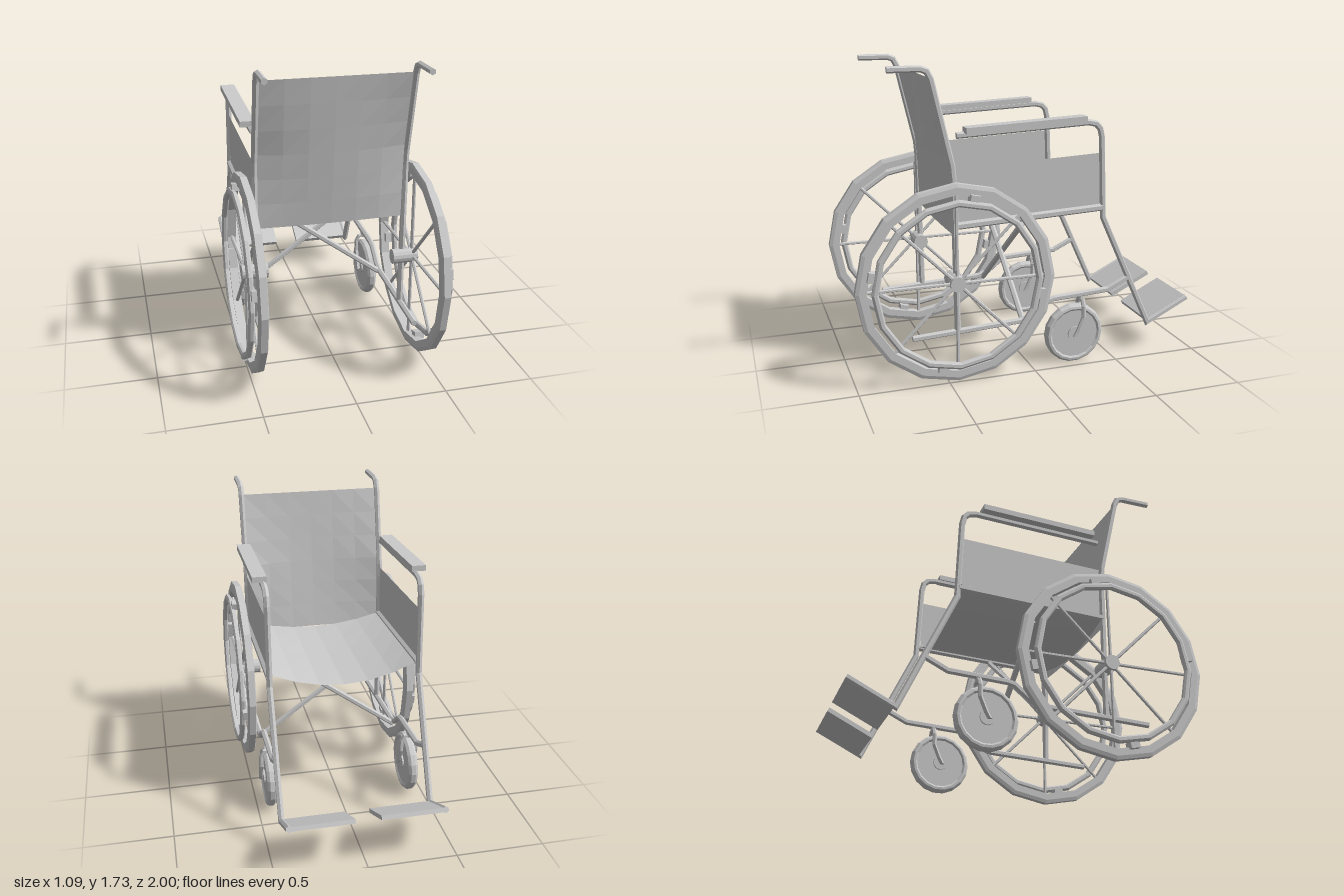
import * as THREE from 'three';

const grey = new THREE.MeshStandardMaterial({ color: 0xcccccc, flatShading: true });
const cloth = new THREE.MeshStandardMaterial({ color: 0xcccccc, flatShading: true, side: THREE.DoubleSide });

function add(parent, name, geometry, material = grey) {
  const mesh = new THREE.Mesh(geometry, material);
  mesh.name = name;
  parent.add(mesh);
  return mesh;
}

// Mitred pipe through points lying roughly in a plane with the given normal
function pipe(points, r, normal, sides = 6) {
  const p = points.map(a => new THREE.Vector3(...a));
  const B = new THREE.Vector3(...normal).normalize();
  const pos = [], idx = [], last = p.length - 1;
  const dir = i => p[i + 1].clone().sub(p[i]).normalize();
  for (let i = 0; i <= last; i++) {
    const before = dir(Math.max(i - 1, 0)), after = dir(Math.min(i, last - 1));
    const T = before.clone().add(after).normalize();
    const N = B.clone().cross(T).normalize().multiplyScalar(1 / Math.max(T.dot(after), 0.5));
    for (let k = 0; k < sides; k++) {
      const a = (k / sides) * Math.PI * 2;
      const v = p[i].clone().addScaledVector(N, r * Math.cos(a)).addScaledVector(B, r * Math.sin(a));
      pos.push(v.x, v.y, v.z);
      if (i < last) {
        const q = i * sides + k, w = i * sides + (k + 1) % sides;
        idx.push(q, w, q + sides, w, w + sides, q + sides);
      }
    }
  }
  const end = last * sides;
  for (let k = 1; k < sides - 1; k++) idx.push(0, k + 1, k, end, end + k, end + k + 1);
  const g = new THREE.BufferGeometry();
  g.setAttribute('position', new THREE.Float32BufferAttribute(pos, 3));
  g.setIndex(idx);
  g.computeVertexNormals();
  return g;
}

// Solid of revolution around the x axis, profile given as [radius, x]
function ring(profile, segments) {
  const g = new THREE.LatheGeometry(profile.map(a => new THREE.Vector2(...a)), segments);
  return g.rotateZ(-Math.PI / 2);
}

// Grid in (u across, v along), each point placed by a rule
function sheet(nu, nv, rule) {
  const g = new THREE.PlaneGeometry(1, 1, nu, nv), a = g.attributes.position;
  for (let i = 0; i < a.count; i++) a.setXYZ(i, ...rule(a.getX(i) * 2, a.getY(i) + 0.5));
  g.computeVertexNormals();
  return g;
}

function driveWheel(s) {
  const wheel = new THREE.Group();
  wheel.name = 'driveWheel';
  wheel.position.set(s * 0.481, 0.565, 0.445);
  add(wheel, 'tyre', ring([[0.495, -0.025], [0.535, -0.025], [0.555, -0.018], [0.555, 0.018],
    [0.535, 0.025], [0.495, 0.025], [0.495, -0.025]], 16));
  const rim = add(wheel, 'handRim', ring([[0.437, -0.008], [0.446, -0.016], [0.463, -0.016], [0.474, -0.008],
    [0.474, 0.008], [0.463, 0.016], [0.446, 0.016], [0.437, 0.008], [0.437, -0.008]], 16));
  rim.position.x = s * 0.049;
  const hub = add(wheel, 'hub', new THREE.CylinderGeometry(0.043, 0.043, 0.145, 14).rotateZ(Math.PI / 2));
  hub.position.x = -s * 0.047;
  for (let i = 0; i < 8; i++) {
    const a = (i * Math.PI) / 4;
    add(wheel, 'spoke', pipe([[0, 0, 0], [0, 0.5 * Math.sin(a), 0.5 * Math.cos(a)]], 0.01, [1, 0, 0]));
  }
  // Tabs joining hand rim and tyre
  for (let i = 0; i < 4; i++) {
    const tab = add(wheel, 'rimTab', new THREE.BoxGeometry(0.055, 0.04, 0.055).translate(s * 0.025, 0.478, 0));
    tab.rotation.x = (i * Math.PI) / 2 - Math.PI / 16;
  }
  return wheel;
}

function caster(s) {
  const group = new THREE.Group();
  group.name = 'caster';
  group.position.set(s * 0.422, 0.175, -0.26);
  add(group, 'casterWheel', ring([[0, -0.022], [0.14, -0.022], [0.15, -0.03], [0.163, -0.028], [0.175, -0.013],
    [0.175, 0.013], [0.163, 0.028], [0.15, 0.03], [0.14, 0.022], [0, 0.022]], 18));
  add(group, 'axle', new THREE.CylinderGeometry(0.042, 0.042, 0.064, 14).rotateZ(Math.PI / 2));
  const arm = [[0.045, -0.012, 0.006], [0.045, 0.02, -0.012], [0.045, 0.1, -0.045], [0.045, 0.165, -0.045], [0.028, 0.198, -0.045]];
  const path = [...arm, ...arm.map(([x, y, z]) => [-x, y, z]).reverse()];
  add(group, 'fork', pipe(path, 0.013, [0, 0, 1]));
  add(group, 'stem', pipe([[0, 0.19, -0.045], [0, 0.235, -0.045]], 0.016, [1, 0, 0]));
  return group;
}

function sideFrame(s) {
  const group = new THREE.Group();
  group.name = s > 0 ? 'leftFrame' : 'rightFrame';
  const x = s * 0.423;
  const tube = (name, zy, r = 0.018) => add(group, name, pipe(zy.map(([z, y]) => [x, y, z]), r, [1, 0, 0]));

  tube('backUpright', [[0.785, 1.712], [0.61, 1.712], [0.578, 1.7], [0.557, 1.66], [0.45, 1.2], [0.443, 1.12], [0.43, 0.265]]);
  tube('armAndLegTube', [[0.425, 1.36], [-0.33, 1.395], [-0.375, 1.385], [-0.4, 1.36], [-0.412, 1.31], [-0.43, 0.85],
    [-0.735, 0.18], [-0.99, 0.305]]);
  tube('lowerRail', [[0.685, 0.255], [0.06, 0.285], [0, 0.305], [-0.1, 0.385], [-0.14, 0.395], [-0.47, 0.413], [-0.6, 0.475]]);
  tube('seatRail', [[0.44, 0.868], [-0.425, 0.907]], 0.021);

  // Arm pad
  const pad = add(group, 'armPad', new THREE.BoxGeometry(0.08, 0.032, 0.685));
  pad.position.set(s * 0.442, 1.405, 0.042);
  pad.rotation.x = 0.046;

  // Skirt guard between arm, seat and uprights
  add(group, 'skirtGuard', sheet(1, 1, (u, v) => {
    const t = (u + 1) / 2;
    return [x, THREE.MathUtils.lerp(0.87 + 0.035 * t, 1.18 + 0.04 * t, v), 0.44 - (0.855 - 0.01 * (1 - v)) * t];
  }), cloth);

  // Footplate
  const plate = add(group, 'footplate', new THREE.BoxGeometry(0.36, 0.024, 0.28));
  plate.position.set(s * 0.25, 0.243, -0.865);
  plate.rotation.x = Math.atan2(0.125, 0.255);
  return group;
}

export function createModel() {
  const model = new THREE.Group();
  model.name = 'wheelchair';

  for (const s of [1, -1]) {
    model.add(sideFrame(s), driveWheel(s), caster(s));
    // Crossed brace under the seat
    const z = 0.035 + s * 0.012;
    add(model, 'crossBrace', pipe([[s * 0.42, 0.278, z], [-s * 0.33, 0.825, z]], 0.017, [0, 0, 1]));
  }

  // Sagging sling seat
  add(model, 'seat', sheet(6, 4, (u, v) => {
    const z = 0.44 - 0.852 * v;
    return [u * 0.41, 0.87 + 0.037 * v - (0.06 + 0.037 * v) * (1 - u * u), z];
  }), cloth);

  // Sling backrest, bulging rearward around its middle
  add(model, 'backrest', sheet(6, 6, (u, v) => {
    const y = 0.812 + 0.85 * v;
    const z = y > 1.2 ? 0.45 + (y - 1.2) * 0.233 : 0.438 + (y - 0.812) * 0.031;
    const bulge = y > 1.2 ? (1.662 - y) / 0.462 : 0.25 + 0.75 * (y - 0.812) / 0.388;
    return [u * 0.412, y, z + 0.05 * bulge * (1 - u * u)];
  }), cloth);

  return model;
}
